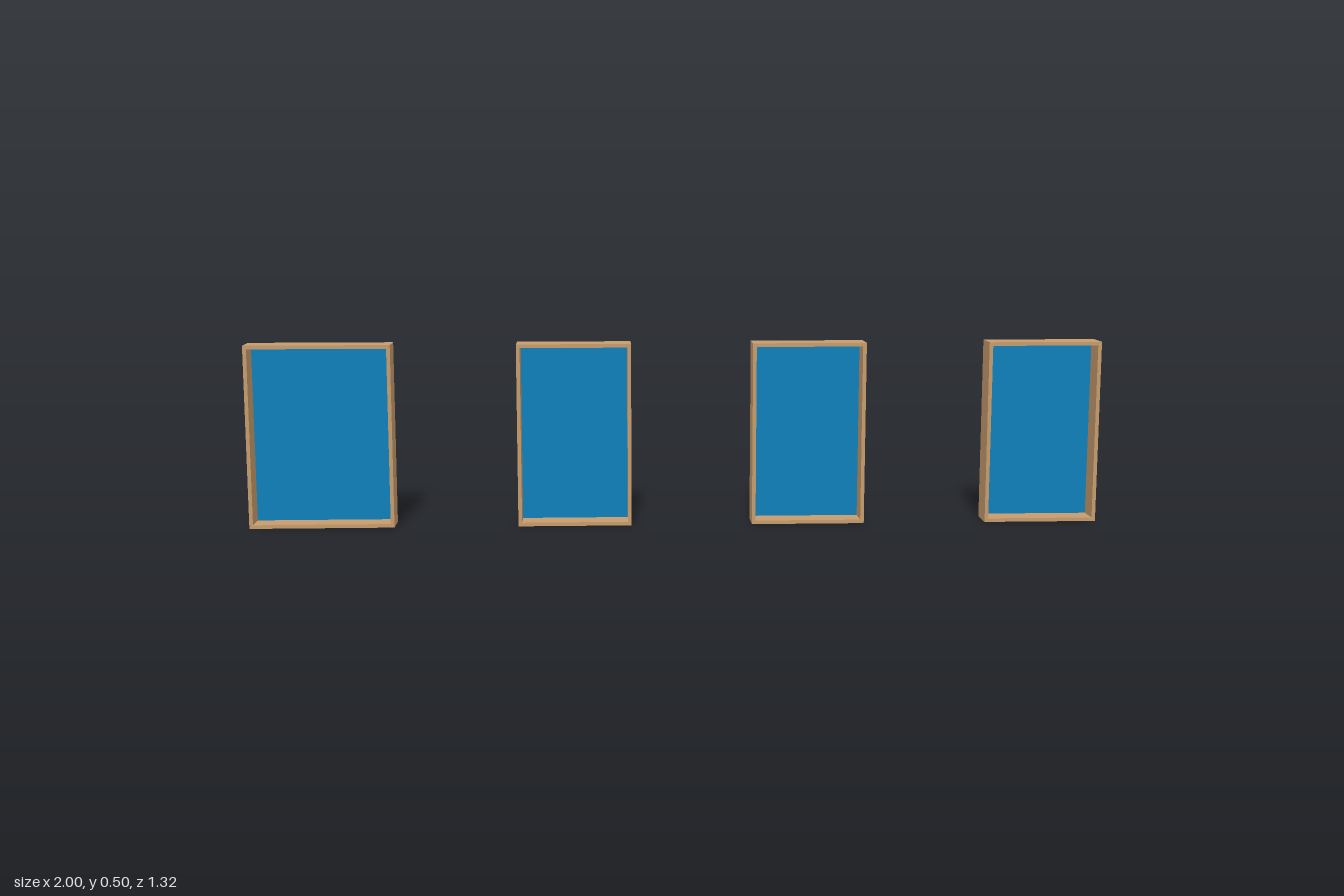
import * as THREE from 'three';

const HEIGHT = 0.5, DEPTH = 0.0757, RIM = 0.01;
const SLANT = THREE.MathUtils.degToRad(32.8);

const wood = new THREE.MeshStandardMaterial({ color: 0xc69c6d });
const glass = new THREE.MeshStandardMaterial({ color: 0x1080ba });

// Upright window: a thin deep box frame with a pane set near its back
function makeWindow(width) {
  const win = new THREE.Group();
  const w = width / 2, iw = w - RIM;

  const outline = new THREE.Shape([
    new THREE.Vector2(-w, 0), new THREE.Vector2(w, 0),
    new THREE.Vector2(w, HEIGHT), new THREE.Vector2(-w, HEIGHT),
  ]);
  outline.holes.push(new THREE.Path([
    new THREE.Vector2(-iw, RIM), new THREE.Vector2(-iw, HEIGHT - RIM),
    new THREE.Vector2(iw, HEIGHT - RIM), new THREE.Vector2(iw, RIM),
  ]));
  const frame = new THREE.Mesh(
    new THREE.ExtrudeGeometry(outline, { depth: DEPTH, bevelEnabled: false }), wood);
  frame.name = 'frame';
  frame.position.z = -DEPTH / 2;

  const thickness = 0.009, recess = 0.002;
  const pane = new THREE.Mesh(
    new THREE.BoxGeometry(iw * 2, HEIGHT - 2 * RIM, thickness), glass);
  pane.name = 'pane';
  pane.position.set(0, HEIGHT / 2, -DEPTH / 2 + recess + thickness / 2);

  win.add(frame, pane);
  return win;
}

export function createModel() {
  const model = new THREE.Group();
  model.name = 'windowRow';

  // Distance along the slanted row, and width, of each window
  const row = [[-0.97, 0.392], [-0.282, 0.31], [0.359, 0.31], [1.006, 0.31]];
  row.forEach(([along, width], i) => {
    const win = makeWindow(width);
    win.name = `window${i + 1}`;
    win.position.set(along * Math.cos(SLANT), 0, along * Math.sin(SLANT) + 0.003);
    win.rotation.y = -SLANT;
    model.add(win);
  });
  return model;
}
